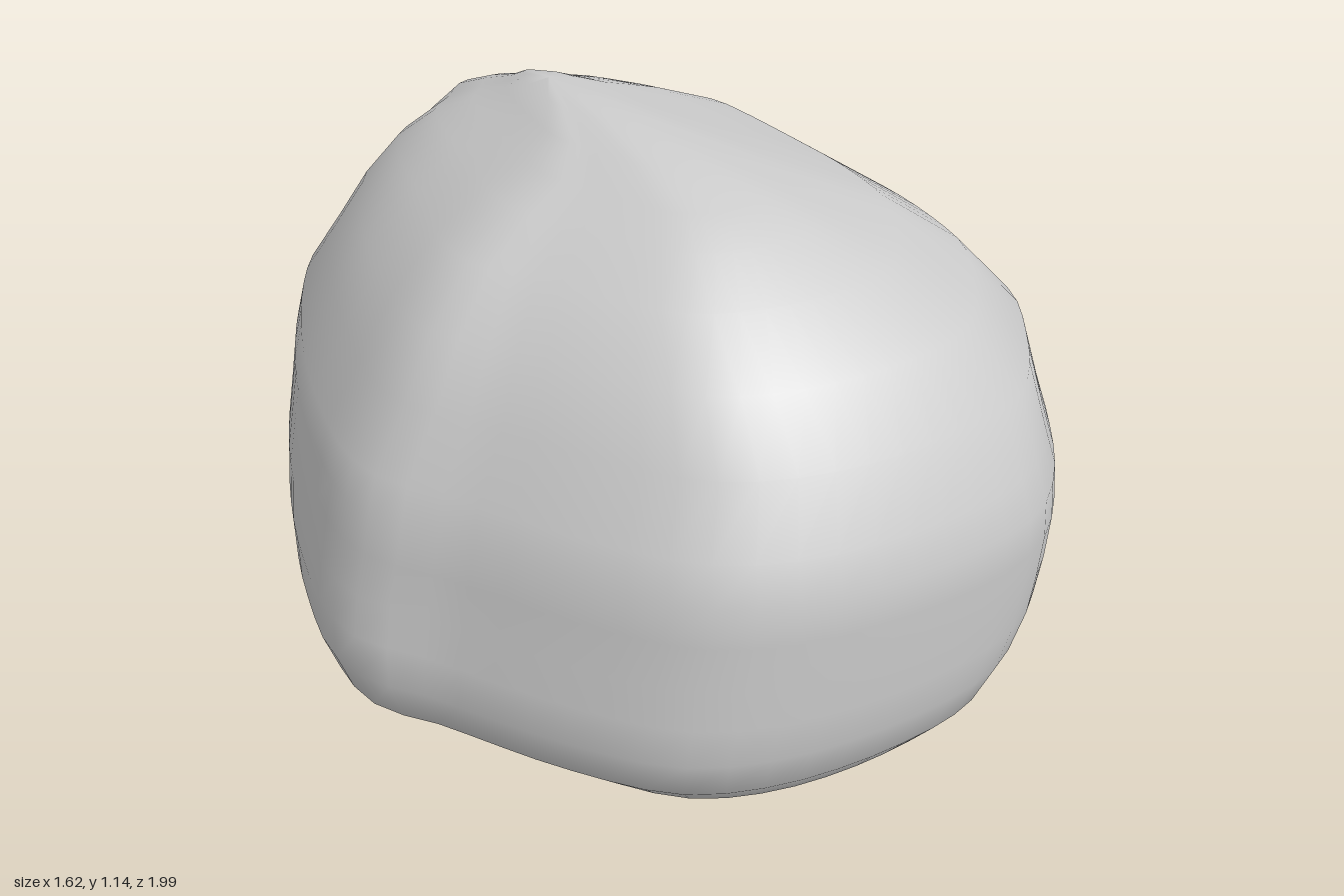
import * as THREE from 'three';
import { mergeVertices } from 'three/addons/utils/BufferGeometryUtils.js';

// Plan outline of the boulder as x, z pairs, clockwise from above
const OUTLINE = [
  [-0.1, -1], [0.02, -0.99], [0.2, -0.92], [0.4, -0.84], [0.58, -0.76], [0.7, -0.64],
  [0.79, -0.52], [0.805, -0.4], [0.8, 0], [0.79, 0.2], [0.75, 0.42], [0.71, 0.54],
  [0.6, 0.7], [0.47, 0.85], [0.35, 0.94], [0.2, 0.985], [-0.05, 1], [-0.25, 0.97],
  [-0.4, 0.9], [-0.55, 0.72], [-0.73, 0.42], [-0.78, 0.36], [-0.81, 0.22], [-0.78, 0],
  [-0.73, -0.2], [-0.66, -0.4], [-0.56, -0.62], [-0.47, -0.76], [-0.33, -0.85], [-0.2, -0.96],
];

// Layers from the base up: y, xMin, xMax, zMin, zMax
const LAYERS = [
  [0, -0.05, -0.05, 0, 0],
  [0.003, -0.5, 0.42, -0.25, 0.2],
  [0.025, -0.64, 0.62, -0.79, 0.86],
  [0.06, -0.7, 0.67, -0.82, 0.91],
  [0.12, -0.78, 0.74, -0.85, 0.96],
  [0.2, -0.81, 0.785, -0.9, 0.985],
  [0.28, -0.805, 0.805, -0.95, 0.992],
  [0.36, -0.79, 0.805, -0.985, 0.995],
  [0.45, -0.772, 0.805, -0.99, 1],
  [0.53, -0.755, 0.79, -0.993, 1],
  [0.6, -0.73, 0.772, -0.985, 0.97],
  [0.73, -0.66, 0.73, -0.88, 0.915],
  [0.85, -0.585, 0.61, -0.77, 0.82],
  [0.95, -0.48, 0.45, -0.67, 0.69],
  [1.02, -0.36, 0.27, -0.57, 0.58],
  [1.06, -0.27, 0.17, -0.46, 0.49],
  [1.1, -0.2, 0.06, -0.33, 0.32],
  [1.125, -0.14, -0.02, -0.27, 0.1],
  [1.14, -0.09, -0.09, -0.16, -0.16],
];

const SEGMENTS = 72;

function boulderGeometry() {
  const curve = new THREE.CatmullRomCurve3(
    OUTLINE.map(([x, z]) => new THREE.Vector3(x, 0, z)), true);
  const ring = curve.getSpacedPoints(SEGMENTS).slice(0, SEGMENTS);
  const { mapLinear, smoothstep } = THREE.MathUtils;
  const positions = [], indices = [];

  LAYERS.forEach(([y, x0, x1, z0, z1], row) => {
    for (const p of ring) {
      let x = mapLinear(p.x, -0.81, 0.805, x0, x1);
      let z = mapLinear(p.z, -1, 1, z0, z1);
      // Undercut low on the left side, either side of a rib near z = 0.35
      const low = 1 - smoothstep(y, 0.05, 0.38);
      const side = smoothstep(p.x, 0.1, 0.7);
      const rib = Math.exp(-(((p.z - 0.35) / 0.2) ** 2));
      x -= 0.1 * low * side * (1 - rib) * (y > 0.01 ? 1 : 0);
      // Shallow hollow on the right shoulder, beside the crest
      const hollow = Math.exp(-(((y - 0.98) / 0.07) ** 2) - (((p.z + 0.2) / 0.3) ** 2));
      if (p.x < 0) x += 0.03 * hollow;
      positions.push(x, y, z);
    }
    if (row === 0) return;
    for (let i = 0; i < SEGMENTS; i++) {
      const next = (i + 1) % SEGMENTS;
      const a = (row - 1) * SEGMENTS + i, b = (row - 1) * SEGMENTS + next;
      const c = row * SEGMENTS + i, d = row * SEGMENTS + next;
      // The first and last layers shrink to a point, so one triangle each is enough
      if (row < LAYERS.length - 1) indices.push(b, c, d);
      if (row > 1) indices.push(a, c, b);
    }
  });

  const geometry = new THREE.BufferGeometry();
  geometry.setAttribute('position', new THREE.Float32BufferAttribute(positions, 3));
  geometry.setIndex(indices);
  const welded = mergeVertices(geometry, 1e-4);
  welded.computeVertexNormals();
  return welded;
}

export function createModel() {
  const group = new THREE.Group();
  group.name = 'rock';
  const boulder = new THREE.Mesh(
    boulderGeometry(), new THREE.MeshStandardMaterial({ color: 0xcccccc }));
  boulder.name = 'boulder';
  group.add(boulder);
  return group;
}
